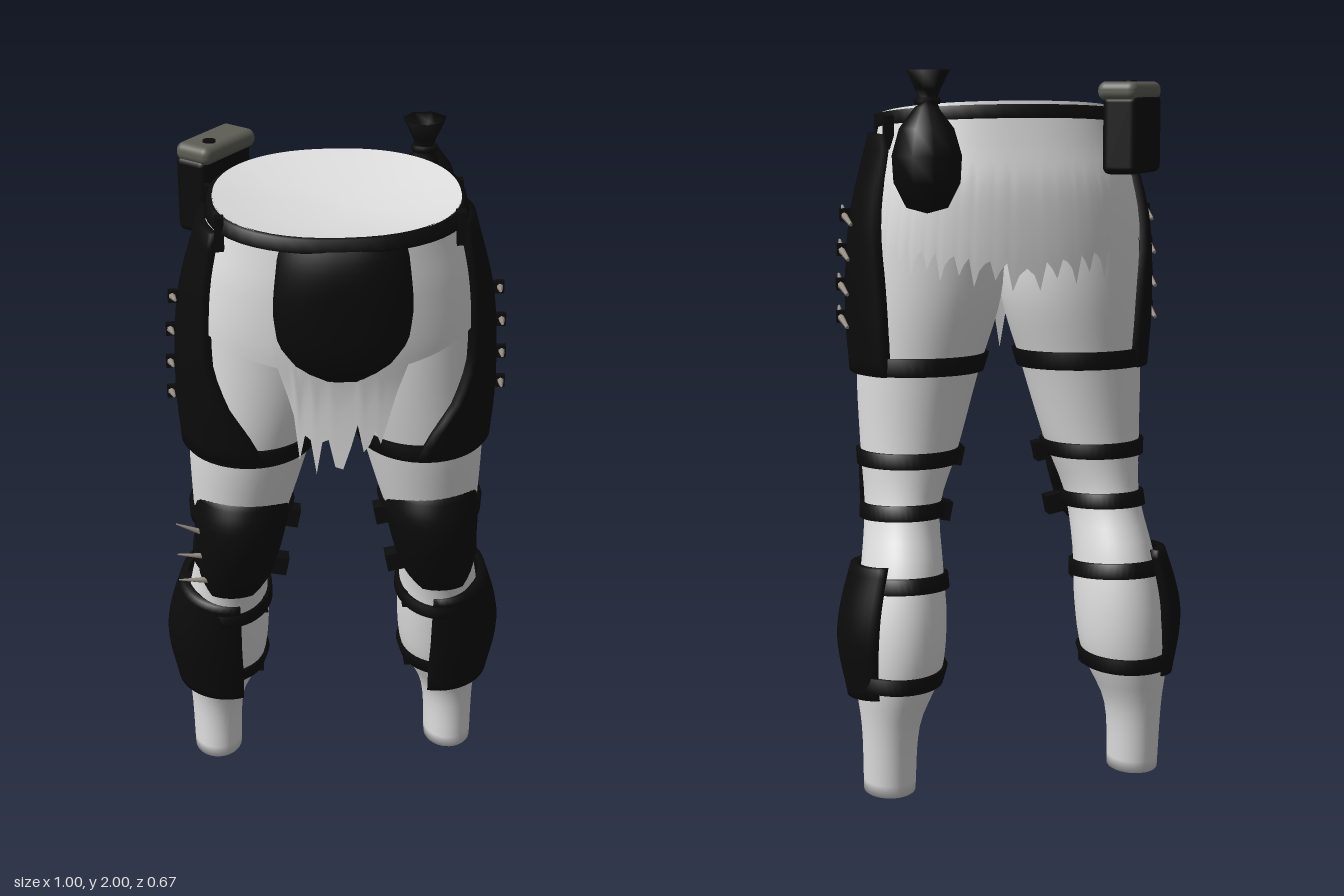
import * as THREE from 'three';
import { RoundedBoxGeometry } from 'three/addons/geometries/RoundedBoxGeometry.js';

const mat = (name, color) => {
  const m = new THREE.MeshStandardMaterial({ color, side: THREE.DoubleSide });
  m.name = name;
  return m;
};
const D = Math.PI / 180;

// Smooth interpolation of rows [y, ...values] at height y
function at(rows, y) {
  let i = 0;
  while (i < rows.length - 2 && y > rows[i + 1][0]) i++;
  const a = rows[i], b = rows[i + 1], h = b[0] - a[0];
  const t = THREE.MathUtils.clamp((y - a[0]) / h, 0, 1);
  const slope = (j, k) => {
    const p = rows[Math.max(j - 1, 0)], n = rows[Math.min(j + 1, rows.length - 1)];
    return (n[k] - p[k]) / (n[0] - p[0]);
  };
  const t2 = t * t, t3 = t2 * t;
  return a.map((_, k) => (2 * t3 - 3 * t2 + 1) * a[k] + (t3 - 2 * t2 + t) * h * slope(i, k)
    + (3 * t2 - 2 * t3) * b[k] + (t3 - t2) * h * slope(i + 1, k));
}

// Straight interpolation of [key, value] pairs
function lerpAt(rows, x) {
  let i = 0;
  while (i < rows.length - 2 && x > rows[i + 1][0]) i++;
  const a = rows[i], b = rows[i + 1];
  return THREE.MathUtils.lerp(a[1], b[1], THREE.MathUtils.clamp((x - a[0]) / (b[0] - a[0]), 0, 1));
}

// Surface from rings [y, cx, cz, rx, rz]; angle 0 faces front, 90 degrees faces +x
const surface = (rows, e = 1) => (y, a, off = 0, scale = 1) => {
  const [, cx, cz, rx, rz] = at(rows, y);
  const p = (v) => Math.sign(v) * Math.abs(v) ** e;
  return [cx + p(Math.sin(a)) * (rx + off) * scale, y, cz + p(Math.cos(a)) * (rz + off) * scale];
};

// Grid mesh of fn(u, v); closed joins the ends in u, side = -1 mirrors in x
function grid(name, material, nu, nv, fn, { closed = false, side = 1 } = {}) {
  const pos = [], idx = [], cols = closed ? nu : nu + 1;
  for (let j = 0; j <= nv; j++) for (let i = 0; i < cols; i++) {
    const [x, y, z] = fn(i / nu, j / nv, i, j);
    pos.push(x * side, y, z);
  }
  for (let j = 0; j < nv; j++) for (let i = 0; i < nu; i++) {
    const k = (i + 1) % cols, a = j * cols + i, b = j * cols + k, c = b + cols, d = a + cols;
    if (side > 0) idx.push(a, b, d, b, c, d); else idx.push(a, d, b, b, d, c);
  }
  const g = new THREE.BufferGeometry();
  g.setAttribute('position', new THREE.Float32BufferAttribute(pos, 3));
  g.setIndex(idx);
  g.computeVertexNormals();
  const m = new THREE.Mesh(g, material);
  m.name = name;
  return m;
}

// Body forms
const leg = surface([
  [0, .362, -.125, .072, .085], [.2, .358, -.135, .082, .095], [.35, .335, -.125, .122, .14],
  [.5, .322, -.11, .127, .155], [.65, .31, -.08, .112, .15], [.8, .295, -.02, .105, .14],
  [.95, .27, 0, .135, .145], [1.17, .24, .015, .17, .175], [1.4, .203, .01, .2, .2], [1.65, .195, .01, .195, .205]]);
const hips = surface([
  [1.1, 0, .02, .4, .27], [1.4, 0, .01, .4, .268], [1.55, 0, .015, .4, .28],
  [1.7, 0, .02, .375, .28], [1.8, 0, .03, .345, .265], [1.92, 0, .04, .315, .245]], .88);
const thighForm = surface([[1.18, .24, .015, .19, .195], [1.35, .22, .015, .22, .215],
  [1.6, .19, .01, .235, .24], [1.83, .1, .03, .265, .27]]);
const calfForm = surface([[.24, .34, -.12, .132, .135], [.45, .335, -.11, .165, .162], [.68, .315, -.085, .125, .165]]);
const kneeForm = surface([[.69, .3, 0, .11, .11], [.85, .28, .02, .125, .15],
  [.95, .27, .02, .135, .16], [1.04, .265, .02, .13, .135]]);

// Armour plate on a surface: edges give [y, fromAngle, toAngle], rims curl inwards
function plate(name, material, form, edges, side, { puff = 0, shift = 0, rim = .022 } = {}) {
  const y0 = edges[0][0], y1 = edges[edges.length - 1][0], nu = 22, nv = 18;
  return grid(name, material, nu, nv, (u, v, i, j) => {
    const edge = i === 0 || i === nu || j === 0 || j === nv;
    const s = THREE.MathUtils.clamp((u * nu - 1) / (nu - 2), 0, 1);
    const t = THREE.MathUtils.clamp((v * nv - 1) / (nv - 2), 0, 1);
    const y = y0 + (y1 - y0) * t;
    const a = THREE.MathUtils.lerp(lerpAt(edges.map((r) => [r[0], r[1]]), y), lerpAt(edges.map((r) => [r[0], r[2]]), y), s) * D;
    const p = form(y, a, edge ? -rim : puff * (1 - (2 * s - 1) ** 2) * (1 - (2 * t - 1) ** 4));
    p[1] += shift * s;
    return p;
  }, { side });
}

// Closed strap with a rectangular section
const strap = (name, material, form, y, h, off, tilt, side = 1) =>
  grid(name, material, 48, 3, (u, v, i, j) => {
    const a = u * 2 * Math.PI;
    return form(y - tilt * Math.cos(a) + (j < 2 ? -h : h), a, j % 3 ? off : -.004);
  }, { closed: true, side });

export function createModel() {
  const pale = mat('paleCloth', 0xdedede), black = mat('blackLeather', 0x0b0b0b);
  const grey = mat('greyLid', 0x5e5e56), bone = mat('bone', 0x9c948a);
  const model = new THREE.Group();
  model.name = 'armouredTrousers';
  const put = (name, geo, material, x, y, z) => {
    const m = new THREE.Mesh(geo, material);
    m.name = name;
    m.position.set(x, y, z);
    model.add(m);
    return m;
  };
  const spike = (name, from, to, r0, r1) => {
    const a = new THREE.Vector3(...from), b = new THREE.Vector3(...to), d = b.clone().sub(a);
    const mid = a.clone().add(b).multiplyScalar(.5);
    const m = put(name, new THREE.CylinderGeometry(r1, r0, d.length(), 6), bone, mid.x, mid.y, mid.z);
    m.quaternion.setFromUnitVectors(new THREE.Vector3(0, 1, 0), d.normalize());
  };

  // Tunic with ragged hem, and the shallow hollow at the waist
  const topY = (a) => 1.89 - .03 * Math.cos(a);
  const frontHem = [[-90, 1.58], [-51, 1.55], [-36, 1.52], [-22, 1.5], [-18, 1.41], [-16, 1.36], [-14, 1.23], [-11, 1.34],
    [-8, 1.19], [-5, 1.33], [-1, 1.17], [4, 1.33], [7, 1.21], [9, 1.33], [12, 1.27], [16, 1.37], [18, 1.42],
    [22, 1.5], [36, 1.52], [51, 1.55], [90, 1.58]];
  const hem = (deg) => {
    const d = Math.abs(deg);
    if (d <= 90) return lerpAt(frontHem, deg);
    const n = Math.round(d / 2), tooth = [0, .05, .02, 0, .075, .03, .01][n % 7];
    return 1.58 - .09 * (d - 90) / 90 - tooth * Math.min(1, (d - 90) / 20);
  };
  model.add(grid('tunic', pale, 180, 16, (u, v) => {
    const a = (u * 2 - 1) * Math.PI;
    return hips(THREE.MathUtils.lerp(hem(a / D), topY(a), v), a);
  }, { closed: true }));
  model.add(grid('waistHollow', pale, 60, 8, (u, v) => {
    const a = (u * 2 - 1) * Math.PI, r = 1 - v, p = hips(topY(a), a);
    return [p[0] * r, THREE.MathUtils.lerp(1.885, p[1], r) - .03 * (1 - r * r), .04 + (p[2] - .04) * r];
  }, { closed: true }));
  model.add(strap('belt', black, hips, 1.868, .018, .012, .025));
  model.add(plate('frontPlate', black, hips, [[1.46, -4, 4], [1.5, -14, 14], [1.57, -22, 22], [1.66, -25, 25],
    [1.8, -26, 26], [1.85, -25, 25]], 1, { puff: .035, rim: .004 }));

  for (const side of [1, -1]) {
    // Leg with closed ankle
    model.add(grid('leg', pale, 40, 44, (u, v, i, j) =>
      leg(j < 2 ? .004 * j : 1.65 * (j - 1) / 43, u * 2 * Math.PI, 0, j === 0 ? 0 : 1), { closed: true, side }));

    // Thigh, knee and calf armour
    model.add(plate('thighPlate', black, thighForm, [[1.18, -10, 140], [1.24, 0, 141], [1.35, 24, 138],
      [1.45, 37, 134], [1.6, 43, 125], [1.83, 60, 112]], side));
    model.add(plate('kneePad', black, kneeForm, [[.69, -30, 35], [.75, -62, 62], [.85, -84, 82], [.96, -80, 82],
      [1.03, -50, 62]], side, { puff: .008 }));
    model.add(plate('calfGuard', black, calfForm, [[.26, -26, 148], [.45, -19, 150], [.63, -16, 150]], side, { shift: .04 }));

    // Straps and buckles
    for (const [y, h, t] of [[1.2, .025, .008], [.94, .021, .006], [.79, .02, .015], [.6, .02, .02], [.345, .022, -.002]])
      model.add(strap('legStrap', black, leg, y, h, .013, t, side));
    for (const [x, y] of [[.135, .925], [.17, .765]]) {
      const b = put('buckle', new THREE.BoxGeometry(.055, .055, .045), black, x * side, y, .04);
      b.rotation.z = side * .2;
    }
    for (const [y, x, z] of [[.585, .215, -.03], [.34, .23, -.08]])
      put('strapTab', new THREE.BoxGeometry(.03, .055, .04), black, x * side, y, z);

    // Short straps hanging the thigh plate from the belt
    for (const a of [62, 107]) {
      const [x, y, z] = hips(1.835, a * D, .008);
      put('hangingStrap', new THREE.BoxGeometry(.025, .09, .03), black, x * side, y, z);
    }

    // Bones tied across the thigh plate
    for (const [y, x] of [[1.61, .438], [1.515, .447], [1.42, .451], [1.33, .452]]) {
      spike('thighBone', [(x - .006) * side, y - .022, -.035], [x * side, y, .04], .005, .01);
      spike('thighBone', [x * side, y, .04], [(x - .01) * side, y + .02, .115], .01, .004);
      put('boneTie', new THREE.BoxGeometry(.03, .035, .016), black, (x - .004) * side, y, .04);
    }
  }

  // Spikes on the right knee pad
  for (const [y, rise] of [[.9, .05], [.825, .025], [.745, .02]])
    spike('kneeSpike', [-.37, y, .09], [-.455, y + rise, .115], .01, .002);

  // Belt pouch with lid
  const pouch = put('pouch', new RoundedBoxGeometry(.21, .21, .1, 3, .02), black, -.315, 1.83, -.19);
  const lid = put('pouchLid', new RoundedBoxGeometry(.22, .05, .112, 3, .022), grey, -.307, 1.945, -.19);
  pouch.rotation.y = lid.rotation.y = .89;
  put('lidButton', new THREE.CylinderGeometry(.018, .018, .008, 10), black, -.325, 1.97, -.14);

  // Tied sack
  const lathe = (name, pts, n, x, z) => put(name,
    new THREE.LatheGeometry(pts.map((p) => new THREE.Vector2(...p)), n), black, x, 0, z);
  lathe('sack', [[0, 1.63], [.055, 1.645], [.088, 1.71], [.092, 1.78], [.072, 1.85], [.03, 1.905], [0, 1.92]], 10, .267, -.243);
  lathe('sackFrill', [[.045, 1.87], [.024, 1.92], [.035, 1.95], [.06, 2], [.03, 1.98], [0, 1.965]], 7, .255, -.2);
  put('sackTie', new THREE.TorusGeometry(.028, .01, 6, 14), black, .255, 1.92, -.2).rotation.x = Math.PI / 2;
  return model;
}
